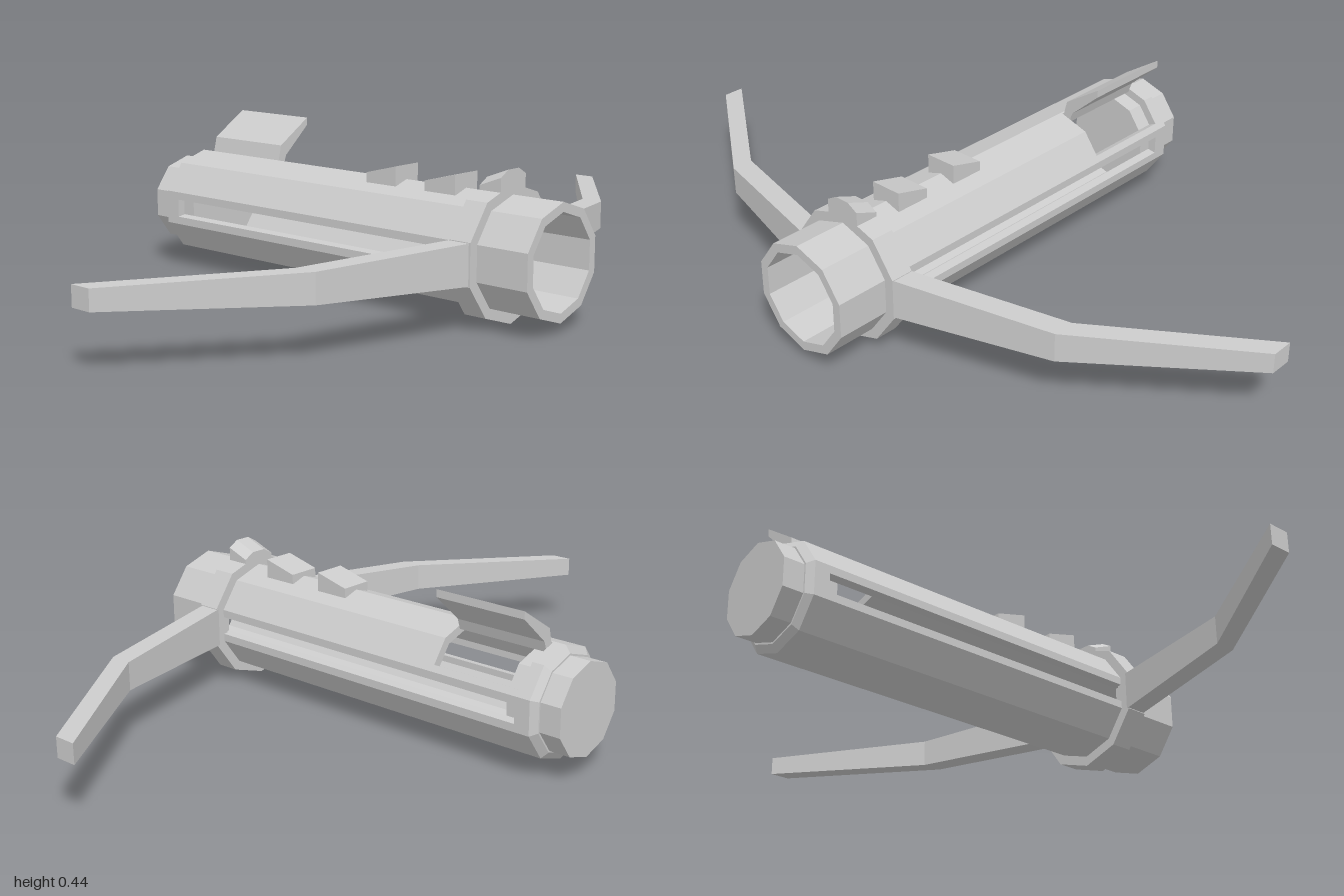
import * as THREE from 'three';

const SIDES = 10, CY = 0.183, R = 0.152, RI = 0.127;
const material = new THREE.MeshStandardMaterial({ color: 0xcccccc, flatShading: true });

// Point on the decagon at perimeter position u (0 = top, increasing towards +z), as [z, y]
function rim(u, r) {
  const corner = k => [Math.sin(k * Math.PI / 5) * r, CY + Math.cos(k * Math.PI / 5) * r];
  const k = Math.floor(u), f = u - k, a = corner(k), b = corner(k + 1);
  return [a[0] + (b[0] - a[0]) * f, a[1] + (b[1] - a[1]) * f];
}

// Perimeter positions from u0 to u1, including the corners between
function arc(u0, u1) {
  const us = [u0];
  for (let k = Math.floor(u0) + 1; k < u1; k++) us.push(k);
  return [...us, u1];
}

// Extrude a [z, y] outline along x
function extrudeX(points, x0, x1, hole) {
  const toShape = p => p.map(([z, y]) => new THREE.Vector2(-z, y));
  const shape = new THREE.Shape(toShape(points));
  if (hole) shape.holes.push(new THREE.Path(toShape(hole)));
  const g = new THREE.ExtrudeGeometry(shape, { depth: x1 - x0, bevelEnabled: false });
  return g.rotateY(Math.PI / 2).translate(x0, 0, 0);
}

const decagon = r => Array.from({ length: SIDES }, (_, k) => rim(k, r));
const wallStrip = (u0, u1, x0, x1) => extrudeX(
  [...arc(u0, u1).map(u => rim(u, R)), ...arc(u0, u1).reverse().map(u => rim(u, RI))], x0, x1);

// Closed solid through cross-sections of equal point count, turned outwards
function loft(sections) {
  const n = sections[0].length, v = sections.flat().map(p => new THREE.Vector3(...p)), tris = [];
  for (let s = 0; s < sections.length - 1; s++) {
    for (let i = 0; i < n; i++) {
      const a = s * n + i, b = s * n + (i + 1) % n;
      tris.push([a, b, b + n], [a, b + n, a + n]);
    }
  }
  const end = (sections.length - 1) * n;
  for (let i = 1; i < n - 1; i++) tris.push([0, i + 1, i], [end, end + i, end + i + 1]);
  let volume = 0;
  for (const [a, b, c] of tris) volume += v[a].dot(v[b].clone().cross(v[c]));
  const order = volume < 0 ? tris.map(t => [t[0], t[2], t[1]]) : tris;
  const g = new THREE.BufferGeometry().setFromPoints(order.flat().map(i => v[i]));
  g.computeVertexNormals();
  return g;
}

export function createModel() {
  const model = new THREE.Group();
  const add = (name, geometry, parent = model) => {
    const mesh = new THREE.Mesh(geometry, material);
    mesh.name = name;
    parent.add(mesh);
  };

  // Hollow ten-sided barrel with a slot on each side and a loading opening
  const barrel = new THREE.Group();
  barrel.name = 'barrel';
  model.add(barrel);
  add('rearWall', extrudeX(decagon(R), -0.605, -0.57, decagon(RI)), barrel);
  add('muzzleWall', extrudeX(decagon(R), 0.47, 0.68, decagon(RI)), barrel);
  add('slotEndWall', wallStrip(-0.05, 8.2, -0.57, -0.56), barrel);
  for (const [x0, x1, openTop] of [[-0.56, -0.30, true], [-0.30, 0.47, false]]) {
    add('lowerWall', wallStrip(2.77, 7.23, x0, x1), barrel);
    if (openTop) {
      add('upperWall', wallStrip(-0.05, 2.23, x0, x1), barrel);
      add('openingSill', wallStrip(7.77, 8.2, x0, x1), barrel);
    } else {
      add('upperWall', wallStrip(-2.23, 2.23, x0, x1), barrel);
    }
  }

  // Closed rear end: plug and chamfered shoulder
  add('rearPlug', extrudeX(decagon(RI), -0.68, -0.52));
  const shoulder = new THREE.CylinderGeometry(R, 0.132, 0.015, SIDES);
  add('rearShoulder', shoulder.rotateY(Math.PI / 2).rotateZ(-Math.PI / 2).translate(-0.6125, CY, 0));

  // Raised lid of the loading opening
  add('lid', extrudeX([[-0.008, 0.325], [-0.02, 0.375], [-0.128, 0.445], [-0.128, 0.424], [-0.04, 0.345], [-0.03, 0.315]],
    -0.57, -0.30));

  // Collar carrying the limbs
  add('collar', extrudeX(decagon(0.18), 0.465, 0.53, decagon(0.14)));

  // Swept, tapering bow limbs: [x of rear edge, z, half height]
  for (const side of [1, -1]) {
    const stations = [[0.466, 0.16, 0.054], [0.35, 0.59, 0.039], [0.055, 1.0, 0.027]];
    add(side > 0 ? 'frontLimb' : 'backLimb', loft(stations.map(([x, z, h]) => [
      [x, CY - h, side * z], [x + 0.062, CY - h, side * z],
      [x + 0.062, CY + h, side * z], [x, CY + h, side * z]])));
  }

  // Wedge-shaped ridges on top
  for (const x of [0.085, 0.283]) {
    add('ridge', loft([[x, 0.348], [x + 0.1, 0.374]].map(([px, top]) => [
      [px, 0.321, -0.046], [px, 0.321, 0.046], [px, top, 0.046], [px, top, -0.046]])));
  }

  // Sight on top of the collar
  add('sight', loft([[0.465, -0.025], [0.53, 0]].map(([x, d]) => [
    [x, 0.335, -0.052], [x, 0.335, 0.052], [x, 0.383 + d, 0.052],
    [x, 0.4 + d, 0.022], [x, 0.4 + d, -0.022], [x, 0.383 + d, -0.052]])));

  return model;
}
